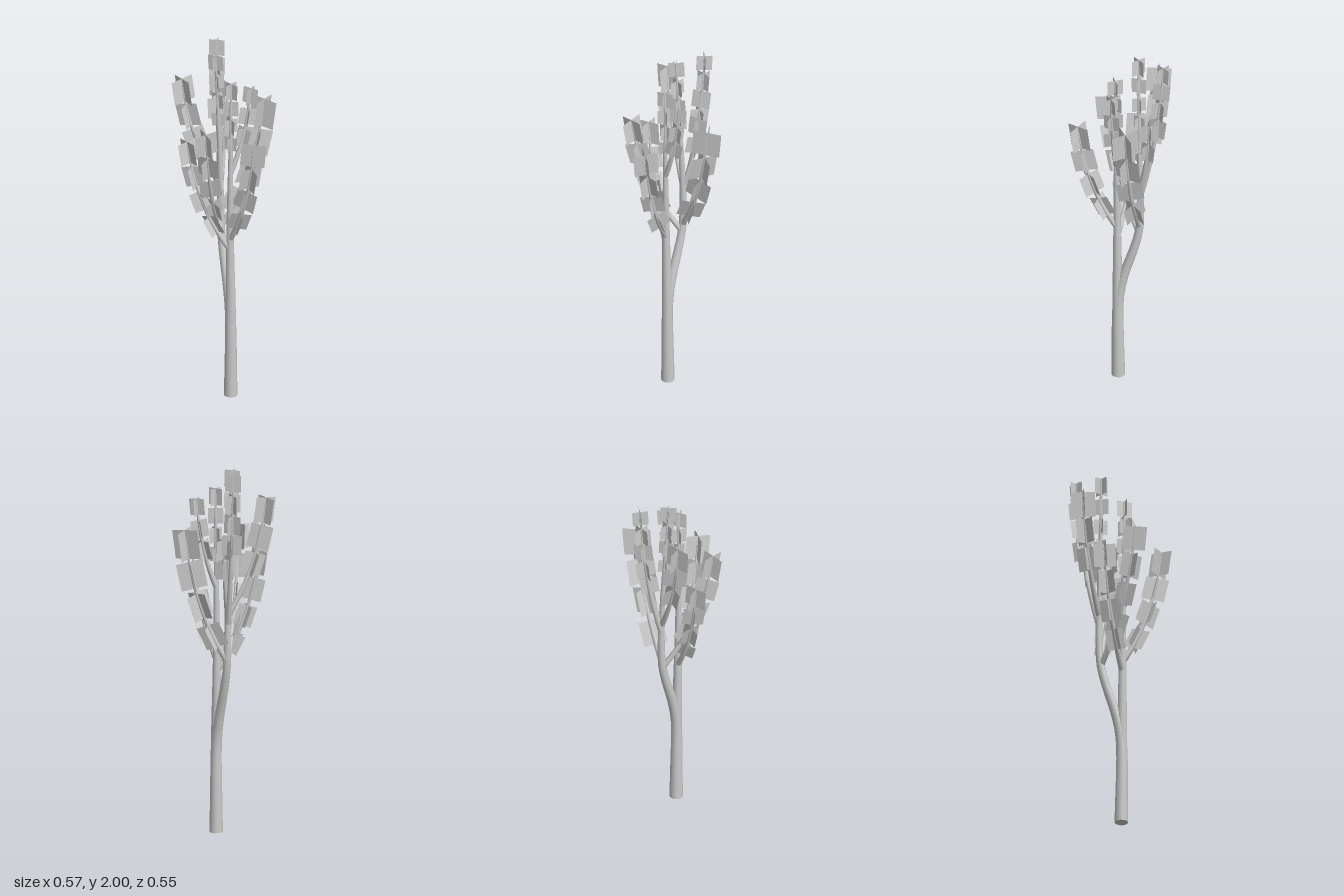
import * as THREE from 'three';

const UP = new THREE.Vector3(0, 1, 0);
const SIDES = 10;
const bark = new THREE.MeshStandardMaterial({ color: 0xcccccc });
const leafMaterial = new THREE.MeshStandardMaterial({ color: 0xcccccc, side: THREE.DoubleSide, flatShading: true });

// Round limb whose radius shrinks from r0 to r1 along a curve
function taperedTube(curve, r0, r1, segments = 32) {
  const geo = new THREE.TubeGeometry(curve, segments, 1, SIDES);
  const pos = geo.attributes.position;
  const v = new THREE.Vector3();
  for (let k = 0; k < pos.count; k++) {
    const t = Math.floor(k / (SIDES + 1)) / segments;
    const centre = curve.getPointAt(t);
    v.fromBufferAttribute(pos, k).sub(centre).multiplyScalar(THREE.MathUtils.lerp(r0, r1, t)).add(centre);
    pos.setXYZ(k, v.x, v.y, v.z);
  }
  return geo;
}

// Curve parameter at a given height (every limb rises steadily)
function paramAtHeight(curve, y) {
  let low = 0, high = 1;
  for (let i = 0; i < 20; i++) {
    const mid = (low + high) / 2;
    if (curve.getPointAt(mid).y < y) low = mid; else high = mid;
  }
  return low;
}

// Two crossed square leaves, aligned with the limb
function leafCluster(curve, y, size, yaw) {
  const t = paramAtHeight(curve, y);
  const g = new THREE.Group();
  g.name = 'leafCluster';
  for (const turn of [0, Math.PI / 2]) {
    const blade = new THREE.Mesh(new THREE.PlaneGeometry(size, size * 1.06), leafMaterial);
    blade.name = 'leaf';
    blade.rotation.y = turn;
    g.add(blade);
  }
  g.position.copy(curve.getPointAt(t));
  g.quaternion.setFromUnitVectors(UP, curve.getTangentAt(t))
    .multiply(new THREE.Quaternion().setFromAxisAngle(UP, yaw));
  return g;
}

// Limb with leaf clusters spaced evenly down from its tip, each turned a little further
function limb(name, curve, radius, tipRadius, { size, gap, count, yaw, growth = -0.05 }) {
  const g = new THREE.Group();
  g.name = name;
  const wood = new THREE.Mesh(taperedTube(curve, radius, tipRadius), bark);
  wood.name = name + 'Wood';
  g.add(wood);
  const top = curve.getPointAt(1).y - 0.04;
  for (let i = 0; i < count; i++) {
    g.add(leafCluster(curve, top - i * gap, size * (1 + growth * i), yaw + i * 0.6));
  }
  return g;
}

// Branch that leaves a stem at a height, spreads outward, then turns up to its tip
function branchCurve(stem, y, tip) {
  const start = stem.getPointAt(paramAtHeight(stem, y));
  const end = new THREE.Vector3(...tip);
  const bend = start.clone().lerp(end, 0.8);
  bend.y = THREE.MathUtils.lerp(start.y, end.y, 0.42);
  return new THREE.QuadraticBezierCurve3(start, bend, end);
}

const spline = (points) => new THREE.CatmullRomCurve3(points.map((p) => new THREE.Vector3(...p)));

export function createModel() {
  const tree = new THREE.Group();
  tree.name = 'tree';

  // Two stems sharing one trunk
  const straight = spline([[-0.01, 0, 0.003], [-0.012, 0.5, 0.007], [-0.017, 0.95, 0.01], [-0.015, 1.86, 0.02]]);
  const bent = spline([[-0.01, 0, 0.003], [-0.012, 0.48, 0.002], [-0.013, 0.62, -0.023], [-0.013, 0.8, -0.078],
    [-0.012, 0.92, -0.107], [-0.012, 1.08, -0.115], [-0.02, 1.4, -0.11], [-0.05, 1.98, -0.1]]);
  tree.add(limb('straightStem', straight, 0.036, 0.005, { size: 0.085, gap: 0.105, count: 4, yaw: 0.4 }));
  tree.add(limb('bentStem', bent, 0.036, 0.005, { size: 0.085, gap: 0.115, count: 4, yaw: 0.75 }));

  // Flat underside of the trunk
  const base = new THREE.Mesh(new THREE.CircleGeometry(0.036, SIDES), bark);
  base.name = 'trunkBase';
  base.rotation.x = Math.PI / 2;
  base.position.set(-0.01, 0, 0.003);
  tree.add(base);

  // Branches: name, stem, fork height, tip, leaves
  const branches = [
    ['frontBranch', straight, 0.93, [0.025, 1.555, 0.21], { size: 0.13, gap: 0.148, count: 4, yaw: -0.55 }],
    ['rightBranch', straight, 0.87, [-0.225, 1.5, -0.075], { size: 0.12, gap: 0.145, count: 4, yaw: 0.2 }],
    ['upperLeftBranch', straight, 1.33, [0.095, 1.815, 0.03], { size: 0.085, gap: 0.12, count: 3, yaw: 0.65, growth: 0.06 }],
    ['frontRightBranch', bent, 0.91, [-0.195, 1.61, 0.085], { size: 0.125, gap: 0.15, count: 4, yaw: 1.57 }],
    ['leftBranch', bent, 0.95, [0.213, 1.645, -0.062], { size: 0.15, gap: 0.17, count: 4, yaw: 0.57 }],
    ['backRightBranch', bent, 1.2, [-0.2, 1.81, -0.19], { size: 0.13, gap: 0.145, count: 3, yaw: 0.15 }],
    ['backBranch', bent, 1.15, [0.025, 1.99, -0.24], { size: 0.085, gap: 0.115, count: 4, yaw: 0.9, growth: 0.08 }],
    ['backTwig', bent, 1.2, [0.045, 1.62, -0.17], { size: 0.1, gap: 0.12, count: 2, yaw: 0.3 }],
  ];
  for (const [name, stem, y, tip, leaves] of branches) {
    tree.add(limb(name, branchCurve(stem, y, tip), 0.016, 0.004, leaves));
  }
  return tree;
}
